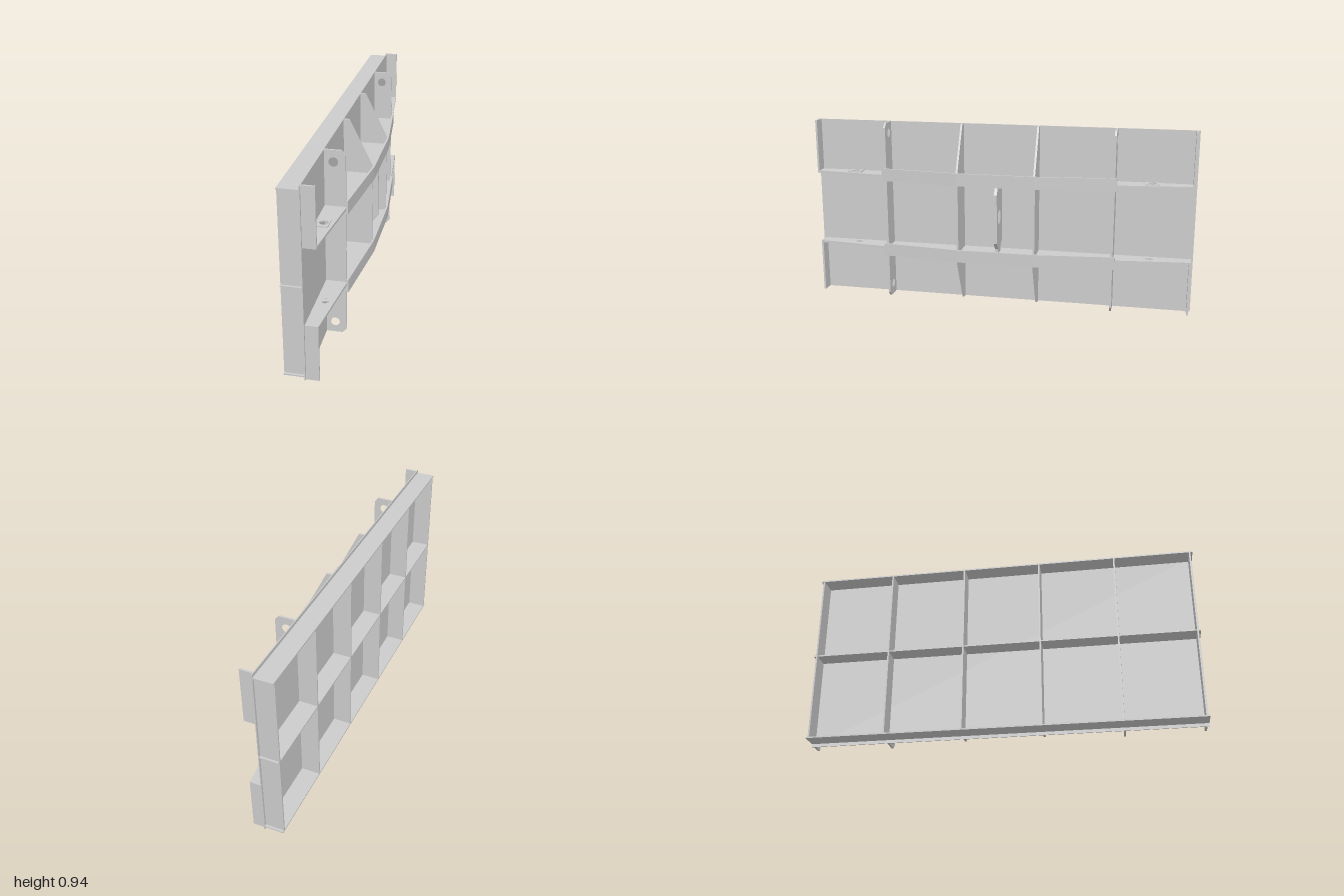
import * as THREE from 'three';

const H = 0.943, MID = H / 2, SKIN = -0.028;
const material = new THREE.MeshStandardMaterial({ color: 0xcccccc });

// Flat plate from an outline and round holes [x, y, r], thickness centred on zero
function plate(points, thickness, holes = []) {
  const shape = new THREE.Shape(points.map(([x, y]) => new THREE.Vector2(x, y)));
  for (const [x, y, r] of holes) {
    const hole = new THREE.Path();
    hole.absarc(x, y, r, 0, Math.PI * 2, true);
    shape.holes.push(hole);
  }
  const g = new THREE.ExtrudeGeometry(shape, { depth: thickness, bevelEnabled: false, curveSegments: 16 });
  return g.translate(0, 0, -thickness / 2);
}

// Lay a plate flat so its outline lies in x and z
const flat = (geometry) => geometry.rotateX(-Math.PI / 2);

// Mirror a half outline across its second axis
const mirrored = (half) => [...half, ...half.map(([a, b]) => [a, -b]).reverse()];

export function createModel() {
  const model = new THREE.Group();
  const add = (name, geometry, x = 0, y = 0, z = 0) => {
    const mesh = new THREE.Mesh(geometry, material);
    mesh.name = name;
    mesh.position.set(x, y, z);
    model.add(mesh);
  };
  const box = (name, x0, x1, y0, y1, z0, z1) =>
    add(name, new THREE.BoxGeometry(x1 - x0, y1 - y0, z1 - z0), (x0 + x1) / 2, (y0 + y1) / 2, (z0 + z1) / 2);

  // Skin plate
  box('skinPlate', SKIN - 0.005, SKIN, 0, H, -1, 1);

  // Grid of thin plates behind the skin
  for (const y of [0.02, MID, H - 0.02])
    box('gridShelf', -0.128, SKIN - 0.005, y - 0.0035, y + 0.0035, -1, 1);
  for (const z of [-0.985, -0.595, -0.2, 0.2, 0.595, 0.985])
    box('gridDivider', -0.128, SKIN - 0.005, 0.02, H - 0.02, z - 0.004, z + 0.004);

  for (const s of [-1, 1]) {
    // Tapered inner rib
    const inner = mirrored([[SKIN, MID], [0, MID], [0.07, 0.328], [0.115, 0.236]]);
    add('innerRib', plate(inner, 0.01), 0, MID, s * 0.2);

    // Outer rib with chamfered corners and a hole at each end
    const outer = mirrored([[SKIN, MID], [0.05, MID], [0.07, MID - 0.023]]);
    add('outerRib', plate(outer, 0.01, [[0.014, 0.415, 0.022], [0.014, -0.415, 0.022]]), 0, MID, s * 0.595);

    // Short end plates above and below the beams
    box('upperEndPlate', SKIN, 0.033, 0.66, H, s * 0.985 - 0.005, s * 0.985 + 0.005);
    box('lowerEndPlate', SKIN, 0.033, 0, H - 0.66, s * 0.985 - 0.005, s * 0.985 + 0.005);
  }

  // Two horizontal beams: web, bent flange, and pads around the holes
  const web = mirrored([[SKIN, 0.988], [0.033, 0.988], [0.073, 0.61], [0.115, 0.2]]);
  const webLoop = web.filter(([x]) => x > SKIN);
  const webOutline = [[SKIN, 0.988], ...webLoop, [SKIN, -0.988]];
  const flange = [
    [0.072, 0.612], [0.082, 0.612], [0.125, 0.2], [0.125, -0.2], [0.082, -0.612],
    [0.072, -0.612], [0.115, -0.2], [0.115, 0.2],
  ];
  const pad = [[-0.026, -0.036], [0.026, -0.036], [0.026, 0.036], [-0.026, 0.036]];
  for (const s of [-1, 1]) {
    const holes = [[0.012, 0.78, 0.02], [0.012, -0.78, 0.02]];
    add('beamWeb', flat(plate(webOutline, 0.012, holes)), 0, MID + s * 0.195, 0);
    add('beamFlange', flat(plate(flange, 0.066)), 0, MID + s * 0.2035, 0);
    for (const z of [-0.78, 0.78])
      add('holePad', flat(plate(pad, 0.005, [[0, 0, 0.02]])), 0.012, MID + s * 0.2035, z);
  }

  // Central lug plate with narrow tabs reaching both beams
  const lug = mirrored([
    [0.014, 0.19], [0.077, 0.19], [0.077, 0.166], [0.108, 0.129],
  ]);
  const lugBack = [[SKIN + 0.006, -0.14], [0.014, -0.166]];
  const lugOutline = [
    ...lug, lugBack[1], lugBack[0],
    [lugBack[0][0], -lugBack[0][1]], [lugBack[1][0], -lugBack[1][1]],
  ];
  add('centreLug', plate(lugOutline, 0.016, [[0.046, 0, 0.037]]), 0, MID, 0);

  return model;
}
